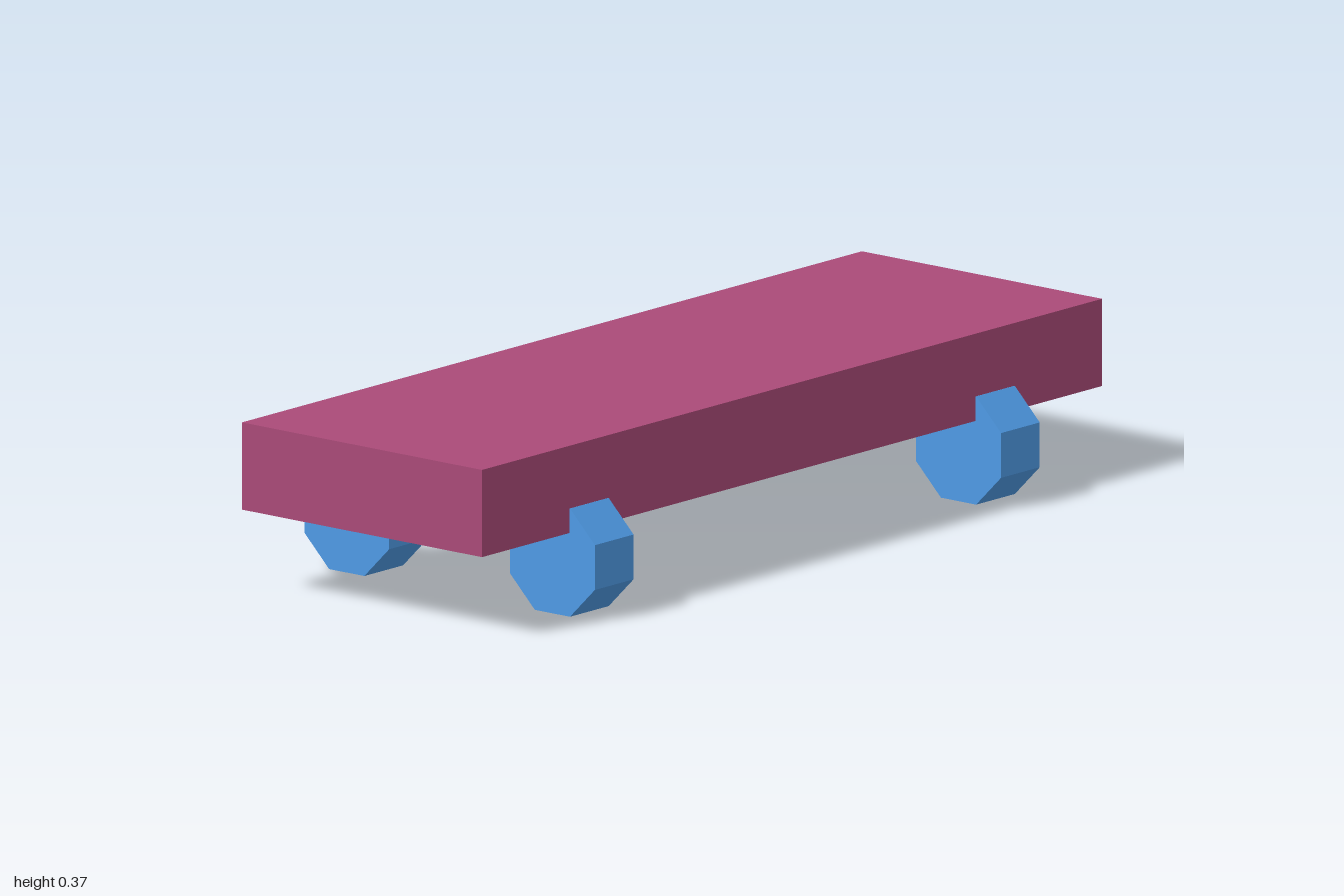
import * as THREE from 'three';

export function createModel() {
  const model = new THREE.Group();
  model.name = 'skateboard';
  const deckMaterial = new THREE.MeshStandardMaterial({ color: 0xaa4a78, flatShading: true });
  const wheelMaterial = new THREE.MeshStandardMaterial({ color: 0x4f9be6, flatShading: true });

  // Deck: a plain slab
  const deck = new THREE.Mesh(new THREE.BoxGeometry(2, 0.187, 0.656), deckMaterial);
  deck.name = 'deck';
  deck.position.y = 0.273;
  model.add(deck);

  // Wheels: octagonal, lying flat side down with the axle along x
  const radius = 0.1255;
  const apothem = radius * Math.cos(Math.PI / 8);
  const wheelGeometry = new THREE.CylinderGeometry(radius, radius, 0.125, 8, 1, false, Math.PI / 8);
  wheelGeometry.rotateZ(Math.PI / 2);
  for (const x of [-1, 1]) {
    for (const z of [-1, 1]) {
      const wheel = new THREE.Mesh(wheelGeometry, wheelMaterial);
      wheel.name = (z > 0 ? 'front' : 'back') + (x > 0 ? 'Left' : 'Right') + 'Wheel';
      wheel.position.set(x * 0.655, apothem, z * 0.281);
      model.add(wheel);
    }
  }
  return model;
}
